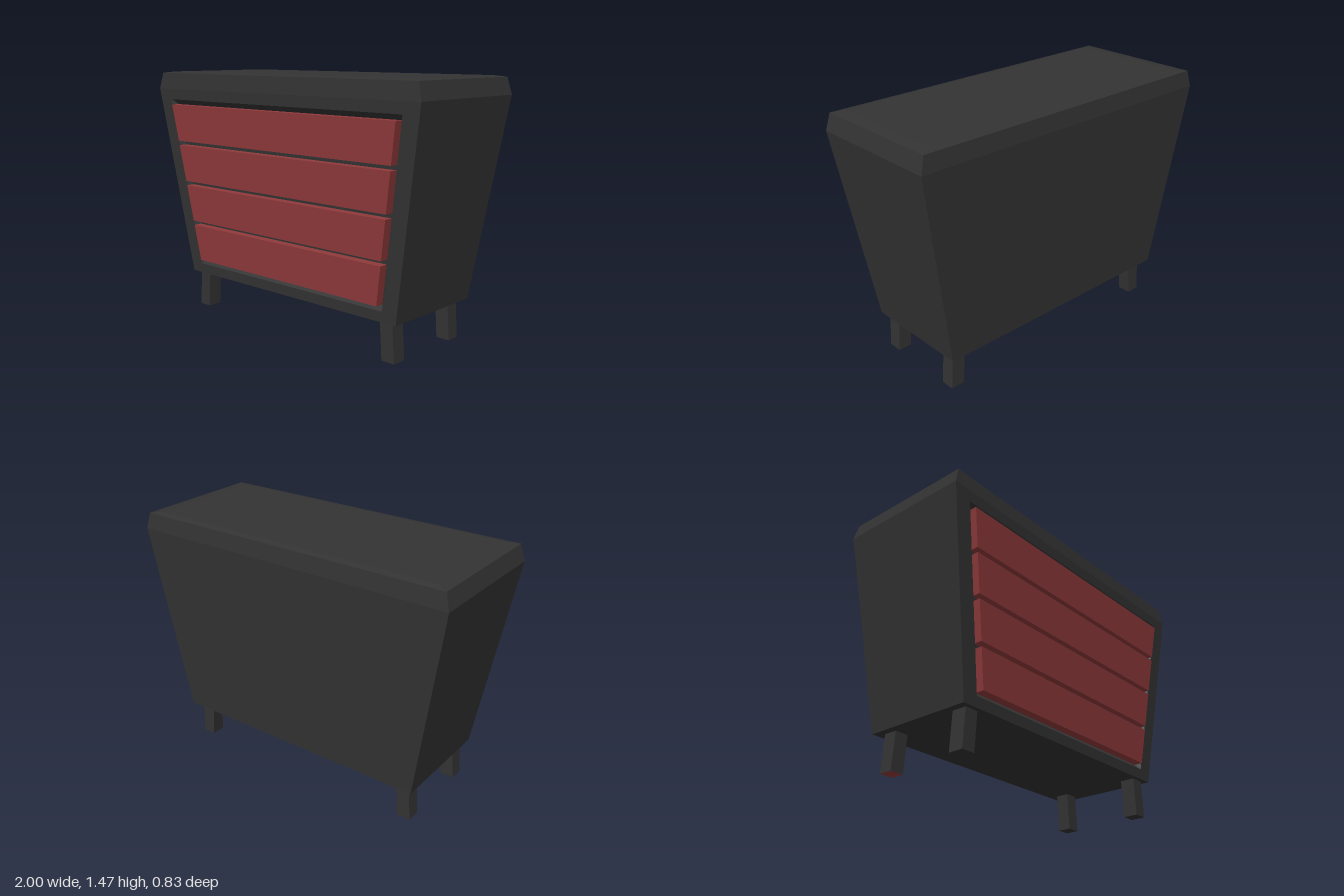
import * as THREE from 'three';

const dark = new THREE.MeshStandardMaterial({ color: 0x333333, flatShading: true });
const red = new THREE.MeshStandardMaterial({ color: 0x913a3c, flatShading: true });

// Joins four-cornered rings into a flat-faced solid; skip(segment, side) leaves a face open
function loft(rings, { start = true, end = true, skip = () => false } = {}) {
  const pos = [];
  const quad = (a, b, c, d) => pos.push(...a, ...b, ...c, ...a, ...c, ...d);
  for (let i = 0; i < rings.length - 1; i++) {
    for (let j = 0; j < 4; j++) {
      if (skip(i, j)) continue;
      const k = (j + 1) % 4;
      quad(rings[i][j], rings[i][k], rings[i + 1][k], rings[i + 1][j]);
    }
  }
  if (start) quad(...[...rings[0]].reverse());
  if (end) quad(...rings[rings.length - 1]);
  const geo = new THREE.BufferGeometry();
  geo.setAttribute('position', new THREE.Float32BufferAttribute(pos, 3));
  geo.computeVertexNormals();
  return geo;
}

// Horizontal rectangle
const level = (y, x0, x1, z0, z1) => [[x1, y, z1], [x1, y, z0], [x0, y, z0], [x0, y, z1]];

// Trapezoid lying parallel to the sloping front, offset outwards by d
const frontZ = (y) => 0.32 + ((y - 0.22) / 1.15) * 0.08;
const slanted = (y0, x0, y1, x1, d) => [
  [-x0, y0, frontZ(y0) + d], [x0, y0, frontZ(y0) + d],
  [x1, y1, frontZ(y1) + d], [-x1, y1, frontZ(y1) + d],
];

export function createModel() {
  const model = new THREE.Group();
  const add = (name, geo, mat, parent = model) => {
    const mesh = new THREE.Mesh(geo, mat);
    mesh.name = name;
    parent.add(mesh);
    return mesh;
  };

  // Flared cabinet with bevelled top, open at the front
  add('cabinetBody', loft([
    level(0.22, -0.81, 0.81, -0.34, 0.32),
    level(1.37, -1, 1, -0.413, 0.4),
    level(1.465, -0.975, 0.975, -0.403, 0.39),
    level(1.473, -0.91, 0.91, -0.365, 0.35),
  ], { skip: (i, j) => i === 0 && j === 3 }), dark);

  // Front frame with bevelled recess and back panel
  add('frontFrame', loft([
    slanted(0.22, 0.81, 1.37, 1, 0),
    slanted(0.28, 0.725, 1.305, 0.888, 0),
    slanted(0.31, 0.705, 1.275, 0.863, -0.03),
  ], { start: false }), dark);

  // Four drawers, wider towards the top
  const drawers = new THREE.Group();
  drawers.name = 'drawers';
  model.add(drawers);
  const halfWidth = (y) => 0.705 + ((y - 0.31) / 0.965) * 0.158;
  for (let i = 0; i < 4; i++) {
    const y0 = 0.31 + i * 0.248, y1 = y0 + 0.221;
    const ring = (d) => slanted(y0, halfWidth(y0), y1, halfWidth(y1), d);
    add('drawer' + (i + 1), loft([ring(-0.03), ring(0.022)]), red, drawers);
  }

  // Splayed legs; the back right one has a red sole
  for (const side of [-1, 1]) {
    for (const [place, z0, z1] of [['front', 0.205, 0.293], ['back', -0.287, -0.205]]) {
      const ring = (y, a, b) => level(y, Math.min(side * a, side * b), Math.max(side * a, side * b), z0, z1);
      const rings = [ring(0, 0.7, 0.783), ring(0.23, 0.685, 0.767)];
      const hasSole = side < 0 && place === 'back';
      const name = place + (side > 0 ? 'Left' : 'Right');
      add(name + 'Leg', loft(rings, { start: !hasSole }), dark);
      if (hasSole) add(name + 'Sole', loft([rings[0]], { end: false }), red);
    }
  }
  return model;
}
